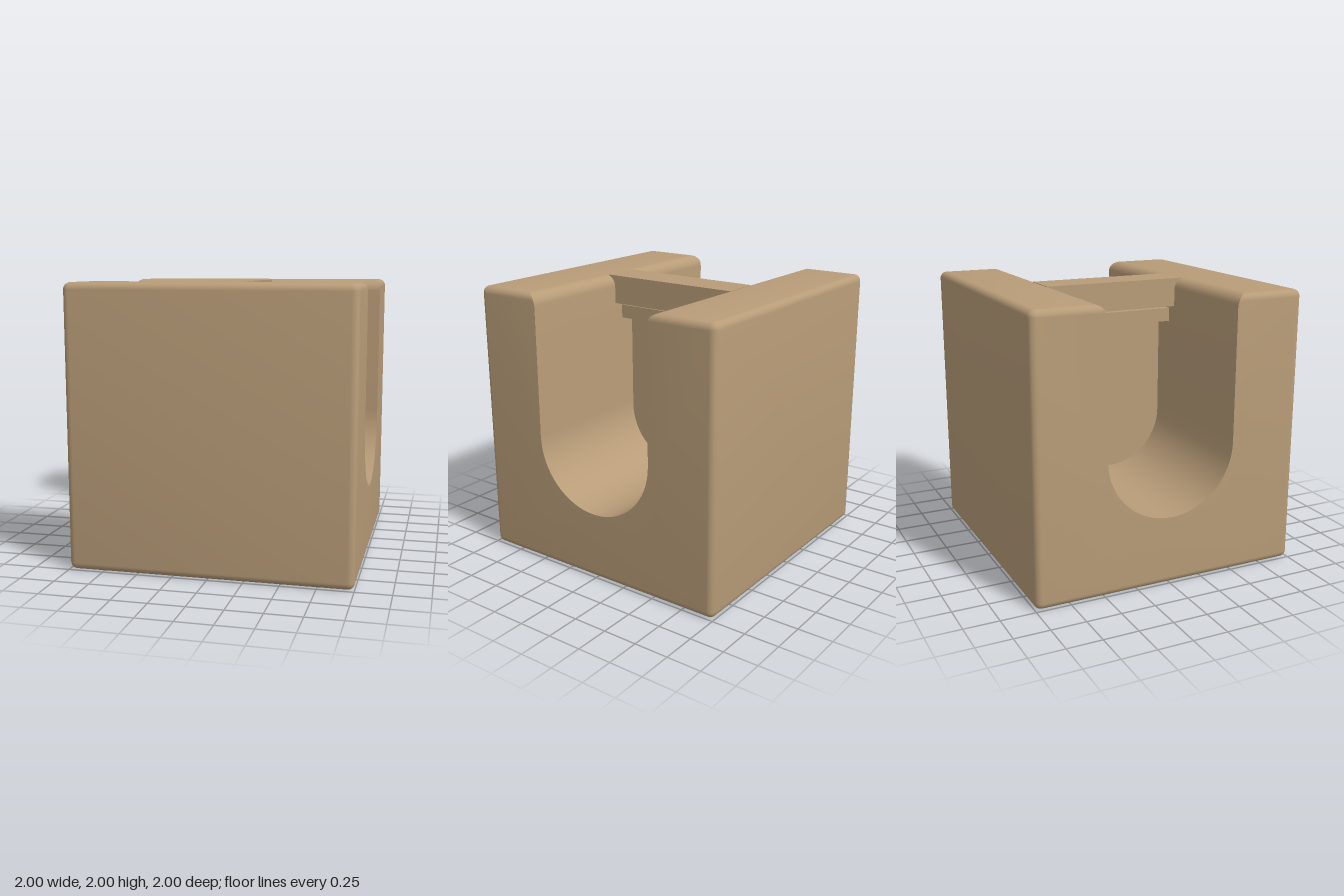
import * as THREE from 'three';
import { toCreasedNormals } from 'three/addons/utils/BufferGeometryUtils.js';

const ROUND = 0.05;      // outer edge rounding
const SLOT = 0.48;       // half width of the channel
const SLOT_Y = 0.975;    // centre height of the channel's round bottom
const LIP = 0.085;       // rounding of the channel's top lips

// Points along an arc, angles in quarter turns
function arc(cx, cy, r, from, to, steps) {
  return Array.from({ length: steps + 1 }, (_, i) => {
    const a = (from + (to - from) * i / steps) * Math.PI / 2;
    return new THREE.Vector2(cx + r * Math.cos(a), cy + r * Math.sin(a));
  });
}

// Block cross-section with its outer edge pulled in; the channel keeps its size
function section(inset) {
  const r = ROUND - inset, c = 1 - ROUND;
  const points = [
    ...arc(-c, ROUND, r, 2, 3, 6),
    ...arc(c, ROUND, r, 3, 4, 6),
    ...arc(c, 2 - ROUND, r, 0, 1, 6),
    ...arc(SLOT + LIP, 2 - LIP, LIP, 1, 2, 8),
    ...arc(0, SLOT_Y, SLOT, 0, -2, 32),
    ...arc(-SLOT - LIP, 2 - LIP, LIP, 0, 1, 8),
    ...arc(-c, 2 - ROUND, r, 1, 2, 6),
  ];
  points.forEach(p => { p.y = Math.min(p.y, 2 - inset); });
  return points;
}

// Loft the sections along the block, rounding both ends
function blockGeometry() {
  const rings = [];
  for (const side of [-1, 1]) {
    for (let i = 0; i <= 6; i++) {
      const a = (side < 0 ? 6 - i : i) / 6 * Math.PI / 2;
      const depth = side * (1 - ROUND + ROUND * Math.sin(a));
      rings.push({ depth, points: section(ROUND * (1 - Math.cos(a))) });
    }
  }
  const n = rings[0].points.length, positions = [], index = [];
  rings.forEach(({ depth, points }) => points.forEach(p => positions.push(p.x, p.y, depth)));
  for (let i = 0; i < rings.length - 1; i++) {
    for (let j = 0; j < n; j++) {
      const a = i * n + j, b = i * n + (j + 1) % n;
      index.push(a, b, b + n, a, b + n, a + n);
    }
  }
  // Flat ends
  const last = (rings.length - 1) * n;
  for (const [a, b, c] of THREE.ShapeUtils.triangulateShape(section(ROUND), [])) {
    index.push(last + a, last + b, last + c, c, b, a);
  }
  const geometry = new THREE.BufferGeometry();
  geometry.setAttribute('position', new THREE.Float32BufferAttribute(positions, 3));
  geometry.setIndex(index);
  geometry.rotateY(Math.PI / 2);
  return toCreasedNormals(geometry, 0.6);
}

// U-shaped plate hanging in the channel
function plateGeometry(half, top, thickness) {
  const shape = new THREE.Shape([
    new THREE.Vector2(half, top), new THREE.Vector2(-half, top),
    ...arc(0, SLOT_Y, half, -2, 0, 32),
  ]);
  const geometry = new THREE.ExtrudeGeometry(shape, { depth: thickness, bevelEnabled: false });
  geometry.translate(0, 0, -thickness / 2);
  geometry.rotateY(Math.PI / 2);
  return toCreasedNormals(geometry, 0.6);
}

export function createModel() {
  const group = new THREE.Group();
  const tan = new THREE.MeshStandardMaterial({ color: 0xb89c78 });
  tan.name = 'tan';

  const add = (name, geometry, y = 0) => {
    const mesh = new THREE.Mesh(geometry, tan);
    mesh.name = name;
    mesh.position.y = y;
    group.add(mesh);
  };

  add('channelBlock', blockGeometry());
  add('topCrossbar', new THREE.BoxGeometry(0.274, 0.21, 1.08), 1.895);
  add('lowerCrossbar', new THREE.BoxGeometry(0.12, 0.1, SLOT * 2), 1.715);
  add('hangingPlate', plateGeometry(0.405, 1.665, 0.07));
  return group;
}
